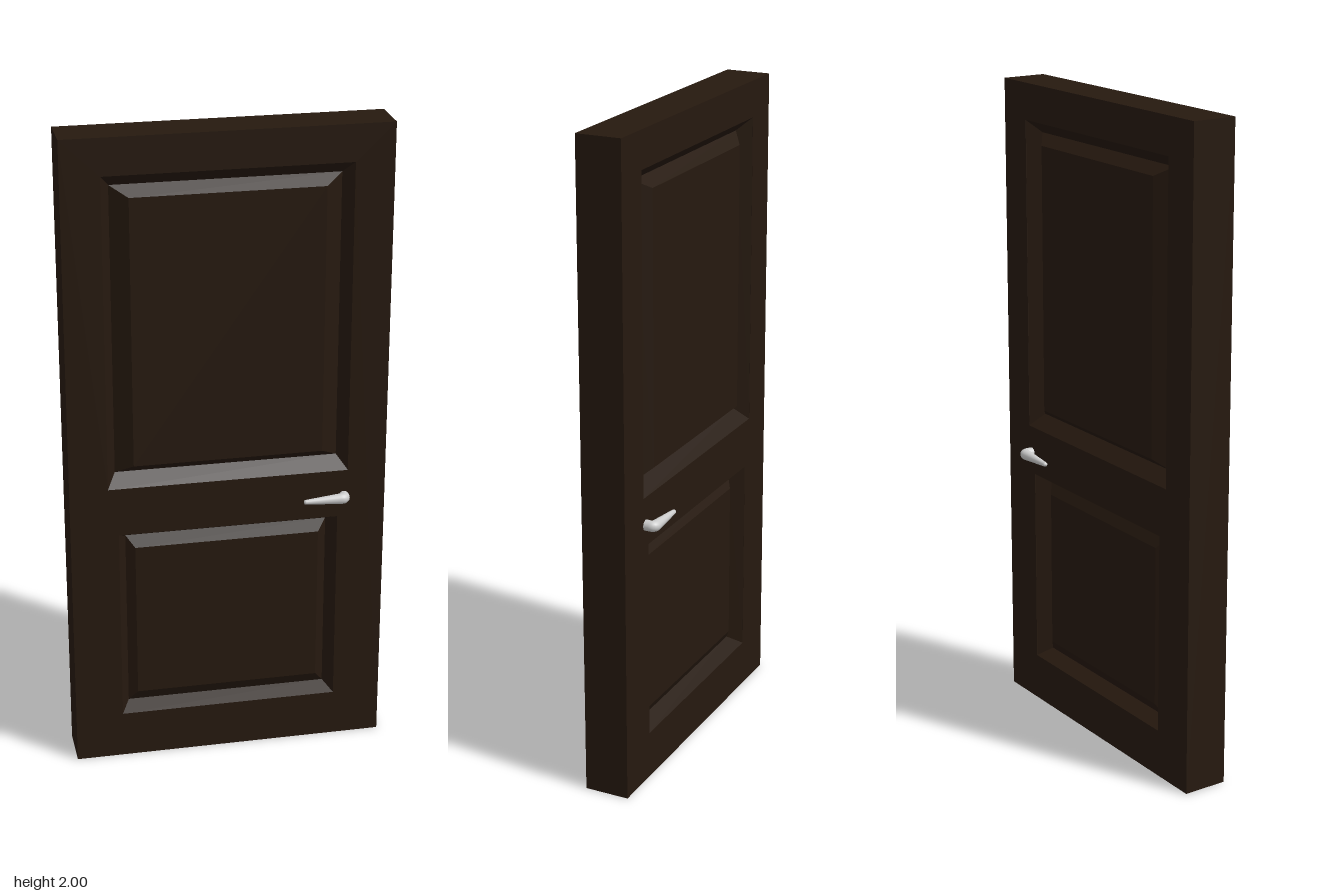
import * as THREE from 'three';

const wood = new THREE.MeshStandardMaterial({ color: 0x26190f });
const metal = new THREE.MeshStandardMaterial({ color: 0xcccccc });
const W = 0.968, H = 2, HALF = 0.0695; // door width, height, half thickness
const HANDLE_Y = 0.837;

// Openings, with inset x, inset y and depth of the groove bottom and of the raised field
const panels = [
  { name: 'upperPanel', x0: -0.368, x1: 0.367, y0: 0.923, y1: 1.888, groove: [0.028, 0.038, 0.043], field: [0.08, 0.068, 0.006] },
  { name: 'lowerPanel', x0: -0.338, x1: 0.337, y0: 0.148, y1: 0.77, groove: [0.026, 0.024, 0.046], field: [0.053, 0.06, 0.026] },
];

function rectPoints(p, [ix, iy, depth]) {
  const z = HALF - depth;
  return [
    [p.x0 + ix, p.y0 + iy, z], [p.x1 - ix, p.y0 + iy, z],
    [p.x1 - ix, p.y1 - iy, z], [p.x0 + ix, p.y1 - iy, z],
  ];
}

// Sloped groove around a raised field, from nested rectangles
function panelGeometry(p) {
  const rings = [[0, 0, 0], p.groove, p.field].map((inset) => rectPoints(p, inset));
  const pos = [];
  const quad = (a, b, c, d) => pos.push(...a, ...b, ...c, ...a, ...c, ...d);
  for (let r = 0; r < 2; r++) {
    for (let i = 0; i < 4; i++) {
      const j = (i + 1) % 4;
      quad(rings[r][i], rings[r][j], rings[r + 1][j], rings[r + 1][i]);
    }
  }
  quad(...rings[2]);
  const g = new THREE.BufferGeometry();
  g.setAttribute('position', new THREE.Float32BufferAttribute(pos, 3));
  g.computeVertexNormals();
  return g;
}

// Slab with two rectangular openings
function frameGeometry() {
  const s = new THREE.Shape();
  s.moveTo(-W / 2, 0).lineTo(W / 2, 0).lineTo(W / 2, H).lineTo(-W / 2, H).closePath();
  for (const p of panels) {
    const h = new THREE.Path();
    h.moveTo(p.x0, p.y0).lineTo(p.x0, p.y1).lineTo(p.x1, p.y1).lineTo(p.x1, p.y0).closePath();
    s.holes.push(h);
  }
  const g = new THREE.ExtrudeGeometry(s, { depth: HALF * 2, bevelEnabled: false });
  return g.translate(0, 0, -HALF);
}

// Bent tube whose radius tapers to a rounded tip
function handleGeometry() {
  const v = (x, z) => new THREE.Vector3(x, 0, z);
  const path = new THREE.CurvePath();
  path.add(new THREE.LineCurve3(v(0.353, 0.055), v(0.354, 0.08)));
  path.add(new THREE.QuadraticBezierCurve3(v(0.354, 0.08), v(0.355, 0.092), v(0.343, 0.092)));
  path.add(new THREE.LineCurve3(v(0.343, 0.092), v(0.224, 0.095)));
  const rows = 60, sides = 20;
  const g = new THREE.TubeGeometry(path, rows, 1, sides, false);
  const pos = g.attributes.position, q = new THREE.Vector3();
  for (let i = 0; i <= rows; i++) {
    const t = i / rows, c = path.getPointAt(t);
    const taper = THREE.MathUtils.lerp(0.0165, 0.0072, THREE.MathUtils.clamp((t - 0.28) / 0.68, 0, 1));
    const tip = Math.sqrt(Math.max(0, 1 - Math.max(0, (t - 0.96) / 0.04) ** 2));
    for (let j = 0; j <= sides; j++) {
      const k = i * (sides + 1) + j;
      q.fromBufferAttribute(pos, k).sub(c).multiplyScalar(taper * tip).add(c);
      pos.setXYZ(k, q.x, q.y, q.z);
    }
  }
  g.computeVertexNormals();
  return g;
}

export function createModel() {
  const model = new THREE.Group();
  model.name = 'panelDoor';
  const add = (parent, name, geometry, material) => {
    const m = new THREE.Mesh(geometry, material);
    m.name = name;
    parent.add(m);
    return m;
  };

  // Door leaf, turned a touch on its axis
  const leaf = new THREE.Group();
  leaf.name = 'doorLeaf';
  leaf.rotation.y = -0.0085;
  leaf.position.set(-0.001, 0, 0.002);
  add(leaf, 'doorFrame', frameGeometry(), wood);
  for (const p of panels) {
    const g = panelGeometry(p);
    add(leaf, p.name + 'Front', g, wood);
    add(leaf, p.name + 'Back', g, wood).rotation.y = Math.PI;
  }
  model.add(leaf);

  // Lever handles, the back one turned over about the lever's axis
  const lever = handleGeometry();
  for (const [name, turn] of [['frontHandle', 0], ['backHandle', Math.PI]]) {
    const handle = add(model, name, lever, metal);
    handle.position.y = HANDLE_Y;
    handle.rotation.x = turn;
  }
  return model;
}
